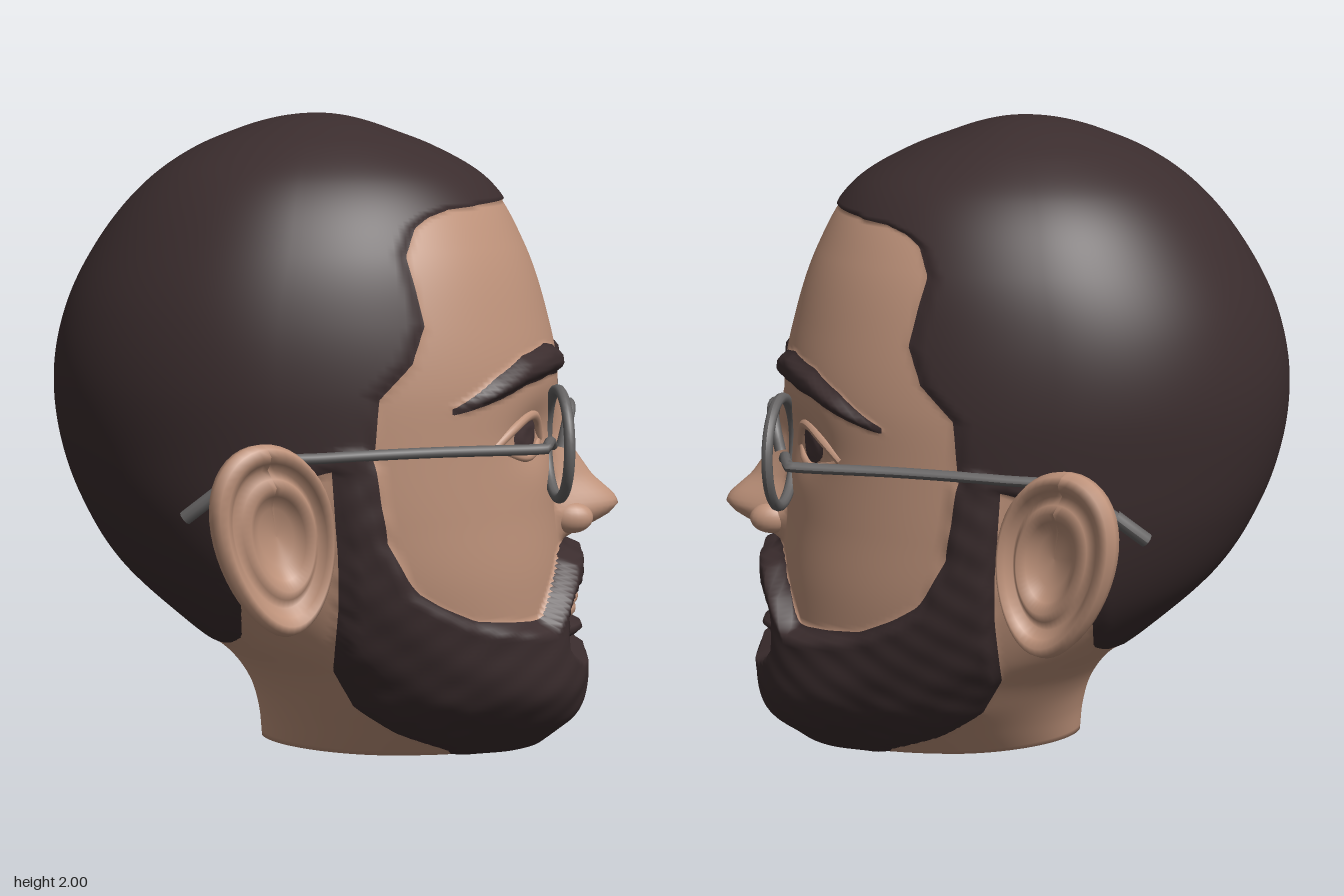
import * as THREE from 'three';

const mat = (name, color, side = THREE.FrontSide) =>
  Object.assign(new THREE.MeshStandardMaterial({ color, side }), { name });
const { smoothstep, lerp } = THREE.MathUtils;

// linear lookup from [key, value] pairs
function curve(pairs) {
  const it = new THREE.LinearInterpolant(pairs.map(p => p[0]), pairs.map(p => p[1]), 1);
  return t => it.evaluate(t)[0];
}

// head cross-sections: y, back x, widest x, front x, half width
const SECTIONS = [
  [2, -0.07, -0.07, -0.07, 0], [1.95, -0.31, -0.07, 0.15, 0.25], [1.9, -0.43, -0.08, 0.28, 0.36],
  [1.8, -0.58, -0.1, 0.45, 0.5], [1.6, -0.75, -0.12, 0.58, 0.63], [1.4, -0.85, -0.15, 0.65, 0.69],
  [1.2, -0.89, -0.15, 0.69, 0.71], [1, -0.875, -0.12, 0.68, 0.7], [0.8, -0.81, -0.08, 0.69, 0.68],
  [0.6, -0.69, 0, 0.71, 0.64], [0.4, -0.48, 0.1, 0.72, 0.57], [0.3, -0.36, 0.18, 0.73, 0.52],
  [0.2, -0.29, 0.22, 0.73, 0.46], [0.1, -0.26, 0.2, 0.7, 0.36], [0, -0.25, 0.15, 0.6, 0.25]];
const sectionAt = new THREE.CubicInterpolant(
  SECTIONS.map(s => Math.sqrt(2 - s[0])), SECTIONS.flatMap(s => s.slice(1)), 4);
const section = y => [...sectionAt.evaluate(Math.sqrt(Math.max(0, 2 - y)))];
const N = 2.2;

// front surface x for a given height and side offset
function faceX(y, z) {
  const [, xm, xf, w] = section(y);
  return xm + (xf - xm) * Math.pow(Math.max(0, 1 - Math.pow(Math.abs(z) / w, N)), 1 / N);
}
const socket = (y, z) => 0.035 * Math.exp(-(((z - 0.3) / 0.13) ** 2) - ((y - 1.03) / 0.09) ** 2);

// outlines of hair, beard, brows and nose
const hairEdge = curve([[0, -2], [0.3, -1], [0.335, -0.45], [0.37, -0.33], [0.42, -0.28], [0.6, -0.27],
  [0.8, -0.22], [0.95, -0.08], [1, 0.125], [1.18, 0.14], [1.28, 0.235], [1.39, 0.27], [1.49, 0.245],
  [1.59, 0.215], [1.67, 0.24], [1.7, 0.28], [1.72, 0.34], [1.737, 0.53], [1.77, 1]]);
const beardBack = curve([[0, 0.36], [0.02, 0.35], [0.1, 0.19], [0.2, 0.06], [0.33, 0], [0.55, 0.02], [0.7, 0.02], [1, 0]]);
const beardTop = curve([[0.1, 1.06], [0.125, 1], [0.14, 0.89], [0.165, 0.75], [0.245, 0.6], [0.325, 0.545], [0.43, 0.49], [0.6, 0.46]]);
const moustacheTop = curve([[0, 0.65], [0.1, 0.655], [0.19, 0.635], [0.27, 0.55], [0.33, 0.46], [0.4, 0.3]]);
const browY = curve([[0.11, 1.24], [0.25, 1.255], [0.4, 1.235], [0.5, 1.19], [0.59, 1.135]]);
const browHalf = curve([[0.11, 0.043], [0.25, 0.05], [0.4, 0.045], [0.5, 0.035], [0.6, 0.008]]);
const noseOut = curve([[0.655, 0], [0.69, 0.08], [0.735, 0.165], [0.77, 0.2], [0.8, 0.185], [0.86, 0.12], [0.96, 0.055], [1.06, 0.03], [1.16, 0]]);
const noseHalf = curve([[0.66, 0.13], [0.75, 0.15], [0.85, 0.11], [1, 0.08], [1.15, 0.1]]);

// signed regions, positive inside: hair, beard, eyebrows, eyes
function regions(x, y, zs) {
  const z = Math.abs(zs);
  const hair = hairEdge(y) - x;
  const top = x > 0.4 ? Math.max(beardTop(x), moustacheTop(z)) : beardTop(x);
  let beard = Math.min(top - y, x - beardBack(y));
  if (x > 0.3) {
    const mouth = 1 - (z / 0.23) ** 3 - (Math.abs(y - 0.415) / 0.115) ** 3;
    const chinTuft = 1 - (z / 0.145) ** 2 - ((y - 0.372) / 0.04) ** 2;
    beard = Math.max(Math.min(beard, -0.07 * mouth), 0.03 * chinTuft);
  }
  const face = x > 0.2;
  const brow = face ? Math.min(browHalf(z) - Math.abs(y - browY(z)), z - 0.108, 0.595 - z) : -1;
  const eye = face ? 0.05 * (1 - ((z - 0.33) / 0.078) ** 2 - ((y - 1.03) / 0.056) ** 2) : -1;
  return [hair, beard, brow, eye];
}

function surfacePoint(y, th) {
  const [xb, xm, xf, w] = section(y);
  const c = Math.cos(th), s = Math.sin(th);
  const n = c > 0 ? N : lerp(1.75, 2, smoothstep(y, 0.2, 0.6));
  const pw = v => Math.sign(v) * Math.pow(Math.abs(v), 2 / n);
  const x = xm + (c > 0 ? xf - xm : xm - xb) * pw(c), z = w * pw(s);
  const f = regions(x, y, z), az = Math.abs(z);
  // hair thickness, nose and eye sockets
  const beardDepth = 0.02 + 0.05 * smoothstep(x, 0.4, 0.7) + 0.003 * Math.sin(40 * y + 25 * az) * Math.sin(33 * x - 14 * y);
  const out = Math.max(0.012 * smoothstep(f[0], 0, 0.03), beardDepth * smoothstep(f[1], 0, 0.04),
    0.03 * smoothstep(f[2], 0, 0.03), 0.015 * smoothstep(f[3], 0, 0.04)) * Math.min(1, w / 0.2);
  let dx = c * out;
  if (c > 0) {
    dx += noseOut(y) * Math.pow(Math.cos(Math.PI / 2 * Math.min(1, az / noseHalf(y))), 1.1);
    dx -= socket(y, az);
  }
  return [x + dx, y, z + s * out, f];
}

// cuts a polygon where field k changes sign
function split(poly, k) {
  const inside = [], outside = [];
  poly.forEach((a, i) => {
    const b = poly[(i + 1) % poly.length], fa = a[6 + k], fb = b[6 + k];
    (fa > 0 ? inside : outside).push(a);
    if ((fa > 0) !== (fb > 0)) {
      const m = a.map((v, j) => lerp(v, b[j], fa / (fa - fb)));
      inside.push(m); outside.push(m);
    }
  });
  return [inside, outside];
}

// head skin, hair, beard, eyebrows and eyes from one surface
function headGeometries() {
  const ROWS = 175, COLS = 200, pos = [], fields = [], index = [];
  for (let i = 0; i <= ROWS; i++) for (let j = 0; j < COLS; j++) {
    const t = (j / COLS) * 2 * Math.PI - Math.PI;
    const y = i === 0 ? 0 : 2 - 2 * Math.pow(1 - (i - 1) / (ROWS - 1), 1.5);
    const [x, py, z, f] = surfacePoint(y, t - 0.4 * Math.sin(t));
    if (i === 0) { pos.push(0.15, 0, 0); fields.push(regions(0.15, 0, 0)); }
    else { pos.push(x, py, z); fields.push(f); }
  }
  for (let i = 0; i < ROWS; i++) for (let j = 0; j < COLS; j++) {
    const a = i * COLS + j, d = i * COLS + (j + 1) % COLS, b = a + COLS, c = d + COLS;
    if (i < ROWS - 1) index.push(a, b, c);
    if (i > 0) index.push(a, c, d);
    if (i === ROWS - 1) index.push(a, b, c);
  }
  const grid = new THREE.BufferGeometry();
  grid.setAttribute('position', new THREE.Float32BufferAttribute(pos, 3));
  grid.setIndex(index);
  grid.computeVertexNormals();
  const nor = grid.attributes.normal;
  for (let j = 0; j < COLS; j++) nor.setXYZ(ROWS * COLS + j, 0, 1, 0);
  const vertex = i => [pos[3 * i], pos[3 * i + 1], pos[3 * i + 2], nor.getX(i), nor.getY(i), nor.getZ(i), ...fields[i]];
  const parts = [[], [], [], [], []];
  for (let i = 0; i < index.length; i += 3) {
    let rest = [0, 1, 2].map(k => vertex(index[i + k]));
    for (let k = 0; k < 5 && rest.length > 2; k++) {
      const [poly, other] = k < 4 ? split(rest, k) : [rest, []];
      for (let m = 1; m + 1 < poly.length; m++) parts[k].push(poly[0], poly[m], poly[m + 1]);
      rest = other;
    }
  }
  return parts.map(p => {
    const g = new THREE.BufferGeometry();
    g.setAttribute('position', new THREE.Float32BufferAttribute(p.flatMap(v => v.slice(0, 3)), 3));
    g.setAttribute('normal', new THREE.Float32BufferAttribute(p.flatMap(v => v.slice(3, 6)), 3));
    return g;
  });
}

// dished ear: a lathe squeezed into an ear outline
function earGeometry() {
  const profile = [[0, -0.08], [0.5, -0.075], [0.88, -0.05], [0.98, -0.02], [1, 0.01], [0.96, 0.035], [0.88, 0.04],
    [0.8, 0.02], [0.72, -0.01], [0.63, 0], [0.54, 0.012], [0.44, -0.015], [0.3, -0.045], [0, -0.05]];
  const g = new THREE.LatheGeometry(profile.map(p => new THREE.Vector2(...p)), 48);
  const p = g.attributes.position;
  for (let i = 0; i < p.count; i++) {
    const x = p.getX(i), z = p.getZ(i), r2 = x * x + z * z;
    p.setXYZ(i, 0.215 * x * (0.9 + 0.15 * z) + 0.045 * z - 0.04 * (1 - r2), p.getY(i), 0.285 * z);
  }
  g.applyMatrix4(new THREE.Matrix4().makeBasis(new THREE.Vector3(-0.825, 0, 0.565),
    new THREE.Vector3(0.565, 0, 0.825), new THREE.Vector3(0, 1, 0)).setPosition(-0.16, 0.79, 0.825));
  g.computeVertexNormals();
  return g;
}

function mirrorZ(geometry) {
  const g = geometry.clone().scale(1, 1, -1), ix = g.index.array;
  for (let i = 0; i < ix.length; i += 3) [ix[i], ix[i + 1]] = [ix[i + 1], ix[i]];
  g.computeVertexNormals();
  return g;
}

const tube = (points, r, segs = 24, tension = 0.5) => new THREE.TubeGeometry(
  new THREE.CatmullRomCurve3(points.map(p => new THREE.Vector3(...p)), false, 'catmullrom', tension), segs, r, 10);

export function createModel() {
  const model = new THREE.Group();
  const skin = mat('skin', 0xbf937b), dark = mat('dark hair', 0x3b2d2e);
  const iris = mat('dark eye', 0x453536), metal = mat('grey frame', 0x656363);
  const add = (name, geometry, material) => {
    const m = new THREE.Mesh(geometry, material);
    m.name = name;
    model.add(m);
  };
  const pair = (name, geometry, material) => {
    add(name + 'Left', geometry, material);
    add(name + 'Right', mirrorZ(geometry), material);
  };

  const names = ['hair', 'beard', 'eyebrows', 'eyes', 'headSkin'], mats = [dark, dark, dark, iris, skin];
  headGeometries().forEach((g, i) => add(names[i], g, mats[i]));
  pair('ear', earGeometry(), skin);
  pair('nostrilWing', new THREE.SphereGeometry(1, 20, 14).scale(0.07, 0.05, 0.045).translate(0.735, 0.735, 0.095), skin);

  // eyelids and lips follow the face surface
  const onFace = (z, y, d) => [faceX(y, z) - socket(y, Math.abs(z)) + d, y, z];
  pair('upperEyelid', tube([onFace(0.21, 1.005, -0.012), onFace(0.27, 1.075, 0), onFace(0.34, 1.09, 0), onFace(0.42, 1.06, 0), onFace(0.48, 1.01, -0.012)], 0.016), skin);
  pair('lowerEyelid', tube([onFace(0.22, 1, -0.012), onFace(0.28, 0.97, -0.002), onFace(0.36, 0.965, -0.002), onFace(0.47, 1.005, -0.012)], 0.014), skin);
  const lip = (half, y, d, drop) => [-1, -0.5, 0, 0.5, 1].map(t =>
    onFace(t * half, y - drop * t * t, d - 0.04 * t ** 4));
  add('upperLip', tube(lip(0.21, 0.483, 0.022, 0.025), 0.026), skin);
  add('lowerLip', tube(lip(0.18, 0.435, 0.014, -0.015), 0.025), skin);

  // round spectacles
  pair('rim', new THREE.TorusGeometry(0.166, 0.017, 10, 48).rotateY(Math.PI / 2 + 0.16).translate(0.68, 1, 0.305), metal);
  add('bridge', tube([[0.7, 0.96, 0.125], [0.715, 1.02, 0.105], [0.73, 1.075, 0.05], [0.73, 1.085, 0],
    [0.73, 1.075, -0.05], [0.715, 1.02, -0.105], [0.7, 0.96, -0.125]], 0.018, 32), metal);
  pair('temple', tube([[0.655, 1.02, 0.47], [0.645, 1.04, 0.53], [0.63, 1.035, 0.61], [0.6, 1.03, 0.625],
    [0.3, 1.025, 0.665], [0, 1.015, 0.715], [-0.2, 1, 0.74], [-0.32, 0.92, 0.735], [-0.42, 0.84, 0.72]], 0.016, 64), metal);
  pair('templeTip', tube([[-0.33, 0.912, 0.735], [-0.38, 0.872, 0.728], [-0.425, 0.836, 0.718]], 0.022, 8), metal);
  return model;
}
